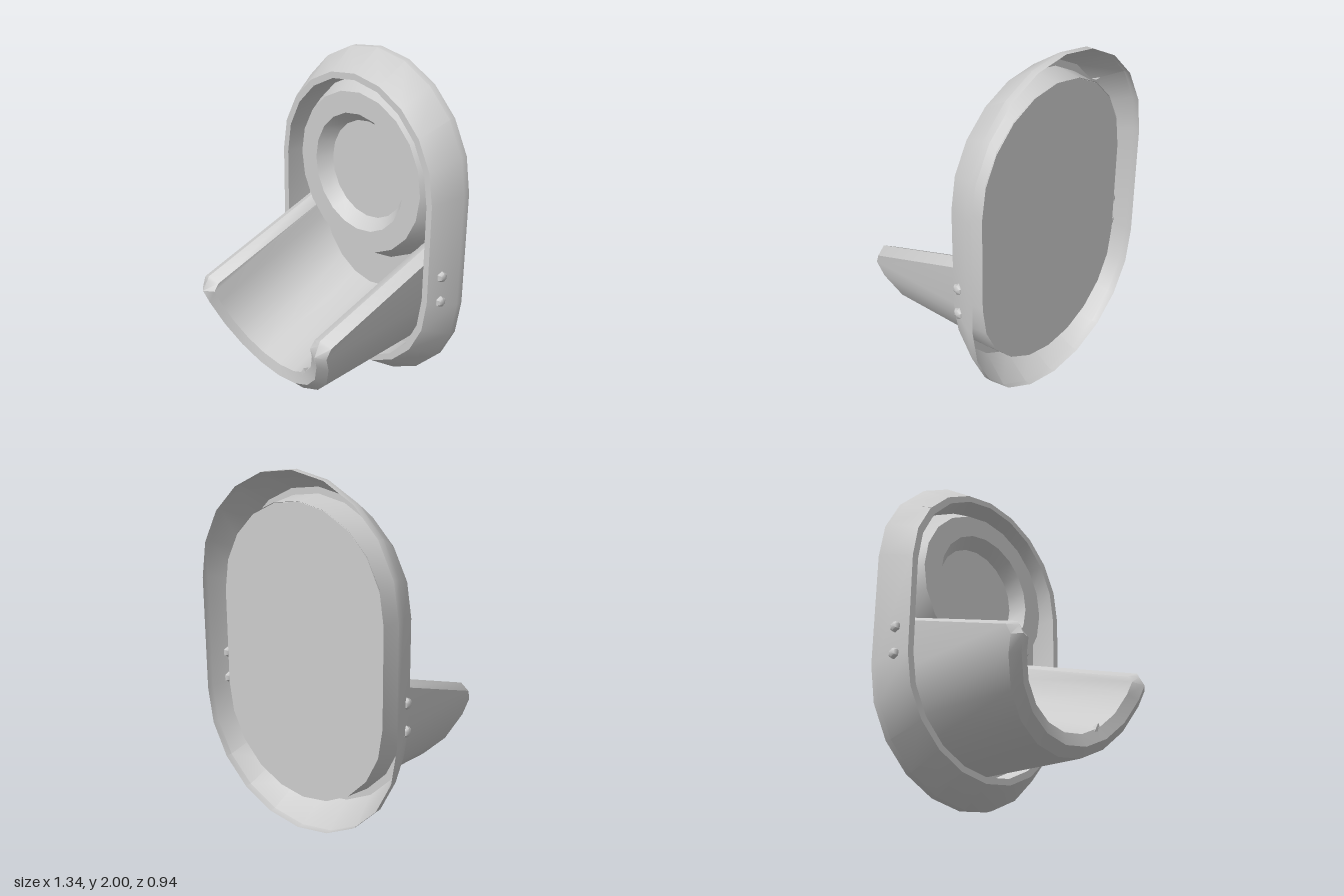
import * as THREE from 'three';
import { toCreasedNormals } from 'three/addons/utils/BufferGeometryUtils.js';

const material = new THREE.MeshStandardMaterial({ color: 0xcccccc, side: THREE.DoubleSide });

function addMesh(parent, name, geometry, crease = 0.6) {
  const mesh = new THREE.Mesh(toCreasedNormals(geometry, crease), material);
  mesh.name = name;
  parent.add(mesh);
  return mesh;
}

// Skin between rows of points that all have the same length.
function skin(rows) {
  const n = rows[0].length;
  const index = [];
  for (let j = 0; j < rows.length - 1; j++) {
    for (let i = 0; i < n - 1; i++) {
      const a = j * n + i, b = a + 1, c = a + n, d = c + 1;
      index.push(a, b, c, b, d, c);
    }
  }
  const geometry = new THREE.BufferGeometry();
  geometry.setAttribute('position', new THREE.Float32BufferAttribute(rows.flat(2), 3));
  geometry.setIndex(index);
  return geometry;
}

// Closed oval outline: two ten-sided half rounds joined by straight sides.
function oval(hx, hy, z) {
  const points = [];
  for (const side of [1, -1]) {
    for (let i = 0; i <= 10; i++) {
      const t = (i / 10) * Math.PI;
      points.push([side * hx * Math.cos(t), 1 + side * hy * (0.33 + 0.67 * Math.sin(t)), z]);
    }
  }
  points.push([...points[0]]);
  return points;
}

// U-shaped spout with thick walls, ridged rails and a slanted, ridged mouth.
function spoutGeometry() {
  const back = -0.42;
  const mouthZ = (y) => 0.26 + 0.38 * (y - 0.155);
  const stations = [];

  const rail = (s) => {
    const ridgeRoot = [s * 0.478, 1.0, back], ridgeTip = [s * 0.478, 0.705, 0.43];
    const end = [ridgeRoot, ridgeTip, ridgeTip, ridgeTip, ridgeRoot];
    const top = [
      [s * 0.54, 0.965, back], [s * 0.54, 0.675, 0.41], [s * 0.478, 0.68, 0.443],
      [s * 0.415, 0.675, 0.41], [s * 0.415, 0.965, back],
    ];
    return [end, top];
  };

  stations.push(...rail(-1));
  for (const degrees of [8, 18, 36, 54, 72, 90, 108, 126, 144, 162, 172]) {
    const t = THREE.MathUtils.degToRad(degrees);
    const at = (r) => [-r * Math.cos(t), 0.692 - r * Math.sin(t)];
    const [ox, oy] = at(0.538), [rx, ry] = at(0.487), [ix, iy] = at(0.417);
    const iz = mouthZ(iy);
    stations.push([
      [ox, oy + 0.04, back], [ox, oy, mouthZ(oy)], [rx, ry, mouthZ(ry) + 0.036],
      [ix, iy, iz], [ix, iy + 0.38 * (iz - back), back],
    ]);
  }
  stations.push(...rail(1).reverse());

  return skin([0, 1, 2, 3, 4].map((j) => stations.map((s) => s[j])));
}

export function createModel() {
  const model = new THREE.Group();
  model.name = 'spoutFitting';

  // Bevelled flange shell, open at the back, with the wall of its recess
  addMesh(model, 'flange', skin([
    oval(0.67, 1, -0.47),
    oval(0.67, 1, -0.43),
    oval(0.596, 0.886, -0.26),
    oval(0.558, 0.85, -0.26),
    oval(0.543, 0.832, -0.42),
  ]));

  // Recess floor
  const outline = oval(0.543, 0.832, 0).map(([x, y]) => new THREE.Vector2(x, y));
  const floor = new THREE.ShapeGeometry(new THREE.Shape(outline));
  addMesh(model, 'recessFloor', floor.translate(0, 0, -0.42));

  // Round collar with a tapered hole
  const collarProfile = [[0.54, -0.42], [0.475, -0.3], [0.35, -0.3], [0.29, -0.38], [0, -0.38]]
    .map(([r, z]) => new THREE.Vector2(r, z));
  const collar = new THREE.LatheGeometry(collarProfile, 20).rotateX(Math.PI / 2);
  addMesh(model, 'collar', collar.translate(0, 1.295, 0));

  addMesh(model, 'spout', spoutGeometry(), 0.75);

  // Pairs of small studs on both sides of the flange
  for (const side of [1, -1]) {
    for (const y of [0.71, 0.865]) {
      const stud = addMesh(model, 'stud', new THREE.SphereGeometry(0.034, 6, 4).rotateZ(Math.PI / 2), 0.9);
      stud.scale.x = 0.7;
      stud.position.set(side * 0.63, y, -0.335);
    }
  }

  // Small three-sided chips on the mouth and the flange
  const mouthChip = addMesh(model, 'mouthChip', new THREE.ConeGeometry(0.035, 0.1, 3).rotateX(-Math.PI / 2), 0.1);
  mouthChip.position.set(0.24, 0.345, 0.285);
  const flangeChip = addMesh(model, 'flangeChip', new THREE.ConeGeometry(0.025, 0.05, 3).rotateX(Math.PI / 2), 0.1);
  flangeChip.position.set(-0.48, 1.65, -0.285);

  return model;
}
